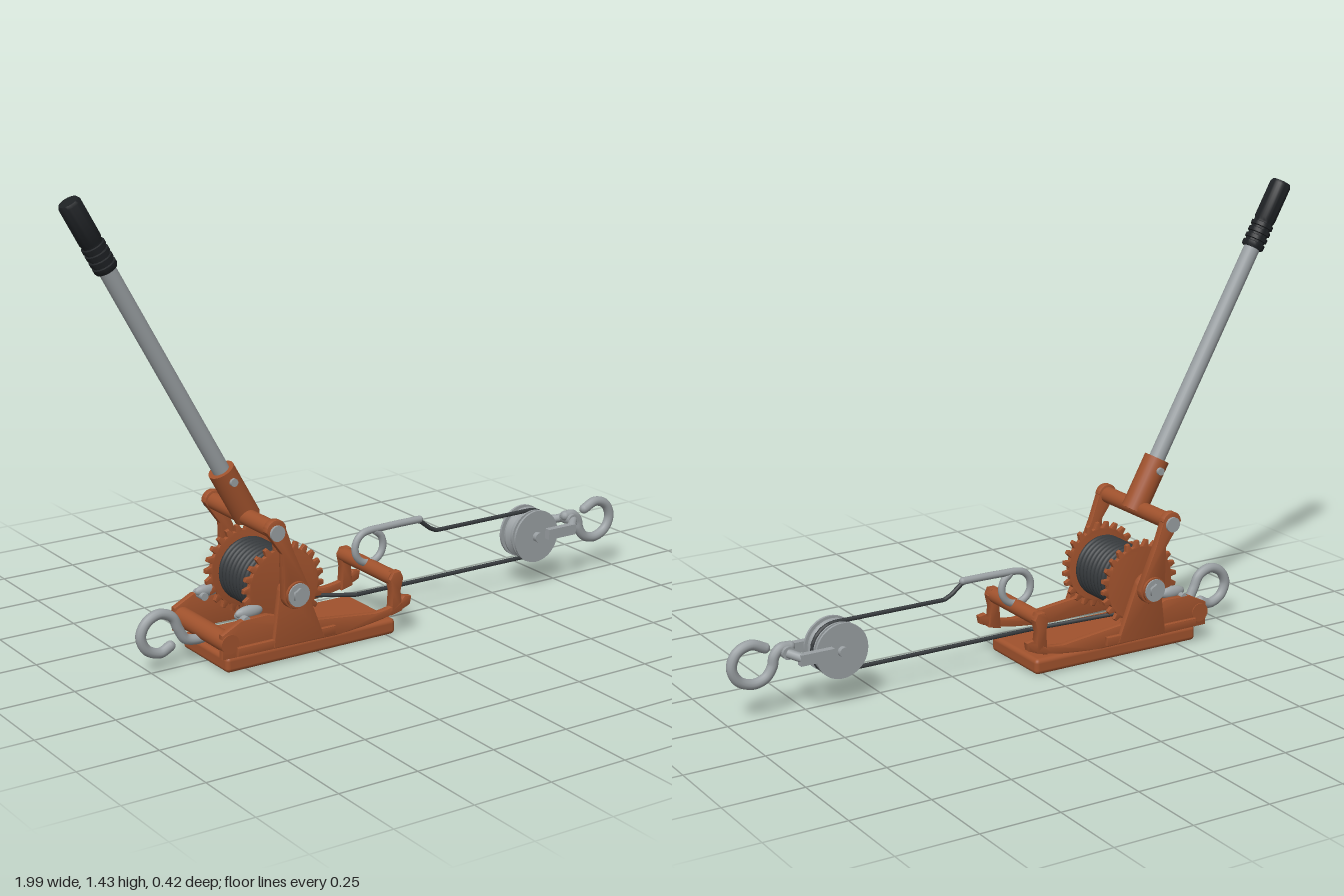
import * as THREE from 'three';
import { RoundedBoxGeometry } from 'three/addons/geometries/RoundedBoxGeometry.js';
import { toCreasedNormals } from 'three/addons/utils/BufferGeometryUtils.js';

const mat = (color) => new THREE.MeshStandardMaterial({ color });
const V = (x, y, z = 0) => new THREE.Vector3(x, y, z);

export function createModel() {
  const model = new THREE.Group();
  const orange = mat(0xa0522d), steel = mat(0x9aa0a3), black = mat(0x1e2124), cable = mat(0x363a3d);

  const add = (name, geo, m) => {
    const mesh = new THREE.Mesh(geo, m);
    mesh.name = name;
    model.add(mesh);
    return mesh;
  };
  // Straight round bar between two points
  const rod = (name, a, b, r, m, sides = 24) => {
    const dir = b.clone().sub(a);
    const mesh = add(name, new THREE.CylinderGeometry(r, r, dir.length(), sides), m);
    mesh.position.copy(a).add(b).multiplyScalar(0.5);
    mesh.quaternion.setFromUnitVectors(V(0, 1, 0), dir.normalize());
    return mesh;
  };
  // Bent round bar with rounded ends
  const bent = (name, pts, r, m, steps = 64) => {
    const curve = new THREE.CatmullRomCurve3(pts, false, 'centripetal');
    add(name, new THREE.TubeGeometry(curve, steps, r, 12), m);
    for (const p of [pts[0], pts[pts.length - 1]])
      add(name + 'End', new THREE.SphereGeometry(r, 12, 8), m).position.copy(p);
  };
  // Flat bevelled plate in the xy plane, spanning z0..z1
  const plate = (name, shape, z0, z1, m) => {
    const b = 0.003;
    const geo = new THREE.ExtrudeGeometry(shape, {
      depth: z1 - z0 - 2 * b, bevelSize: b, bevelThickness: b, bevelOffset: -b, bevelSegments: 2, curveSegments: 16,
    });
    add(name, toCreasedNormals(geo, 0.6), m).position.z = z0 + b;
  };
  // Same plate on both sides of the frame
  const plates = (name, shape, z0, z1, m) => {
    plate(name + 'Left', shape, z0, z1, m);
    plate(name + 'Right', shape, -z1, -z0, m);
  };
  const outline = (pts) => new THREE.Shape(pts.map(([x, y]) => new THREE.Vector2(x, y)));

  // Base plate
  add('basePlate', new RoundedBoxGeometry(0.6, 0.05, 0.265, 3, 0.014), orange).position.set(-0.27, 0.03, 0);

  // Side frames: long rail that curves up at the front
  const rail = new THREE.Shape();
  rail.moveTo(-0.595, 0.06);
  rail.lineTo(-0.2, 0.055);
  rail.quadraticCurveTo(0, 0.065, 0.07, 0.1);
  rail.lineTo(0.075, 0.125);
  rail.lineTo(0.05, 0.13);
  rail.quadraticCurveTo(0.03, 0.1, -0.06, 0.095);
  rail.lineTo(-0.28, 0.12);
  rail.lineTo(-0.44, 0.17);
  rail.lineTo(-0.53, 0.168);
  rail.lineTo(-0.595, 0.135);
  plates('sideRail', rail, 0.13, 0.152, orange);

  // Axle cheeks and lower ribs
  const cheek = new THREE.Shape();
  cheek.moveTo(-0.43, 0.065);
  cheek.lineTo(-0.25, 0.065);
  cheek.lineTo(-0.318, 0.24);
  cheek.absarc(-0.362, 0.23, 0.045, 0.2, Math.PI - 0.1, false);
  plates('axleCheek', cheek, 0.145, 0.166, orange);
  plates('lowerRib', outline([[-0.55, 0.065], [-0.21, 0.065], [-0.21, 0.092], [-0.55, 0.092]]), 0.148, 0.165, orange);

  // Front posts and the cross bars
  plates('frontPost', outline([[0.0, 0.075], [0.042, 0.085], [0.035, 0.15], [0.045, 0.19], [0.035, 0.212],
    [0.01, 0.212], [-0.003, 0.19], [0.005, 0.15]]), 0.122, 0.152, orange);
  rod('frontCrossBar', V(0.02, 0.188, -0.14), V(0.02, 0.188, 0.14), 0.024, orange);
  rod('rearCrossBar', V(-0.57, 0.105, -0.155), V(-0.57, 0.105, 0.155), 0.03, orange);

  // Ratchet wheels with raked teeth
  const C = V(-0.362, 0.23), teeth = 24, gearPts = [];
  for (let i = 0; i < teeth; i++) {
    for (const [f, r] of [[0, 0.121], [0.3, 0.122], [0.55, 0.14], [0.88, 0.14]]) {
      const a = ((i + f) / teeth) * Math.PI * 2;
      gearPts.push([C.x + Math.cos(a) * r, C.y + Math.sin(a) * r]);
    }
  }
  plates('ratchetWheel', outline(gearPts), 0.102, 0.118, orange);

  // Drum wound with cable
  const coil = [new THREE.Vector2(0.04, -0.1), new THREE.Vector2(0.09, -0.1)];
  const turns = 10, half = 0.1;
  for (let i = 0; i < turns; i++) {
    const c = -half + ((i + 0.5) * 2 * half) / turns;
    for (let k = 0; k <= 6; k++) {
      const a = (k / 6) * Math.PI;
      coil.push(new THREE.Vector2(0.088 + 0.013 * Math.sin(a), c - 0.01 * Math.cos(a)));
    }
  }
  coil.push(new THREE.Vector2(0.04, half));
  const drum = add('cableDrum', new THREE.LatheGeometry(coil, 48), cable);
  drum.rotation.x = Math.PI / 2;
  drum.position.copy(C);

  // Axle, bosses and end nuts
  rod('axle', V(C.x, C.y, -0.2), V(C.x, C.y, 0.2), 0.02, steel);
  for (const s of [1, -1]) {
    rod('axleBoss', V(C.x, C.y, s * 0.16), V(C.x, C.y, s * 0.198), 0.04, orange);
    rod('axleWasher', V(C.x, C.y, s * 0.197), V(C.x, C.y, s * 0.203), 0.036, steel);
    rod('axleNut', V(C.x, C.y, s * 0.2), V(C.x, C.y, s * 0.212), 0.023, steel, 6);
    // Pawls resting behind the ratchet wheels
    const pawl = add('pawl', new THREE.SphereGeometry(1, 20, 12), steel);
    pawl.scale.set(0.047, 0.02, 0.016);
    pawl.position.set(-0.485, 0.178, s * 0.118);
    rod('pawlPin', V(-0.51, 0.165, s * 0.095), V(-0.51, 0.165, s * 0.15), 0.012, steel);
    // Bolt at the yoke crossbar
    rod('yokeBolt', V(-0.43, 0.43, s * 0.17), V(-0.43, 0.43, s * 0.198), 0.024, steel, 20);
  }

  // Yoke arms and crossbar
  const arm = new THREE.Shape();
  arm.moveTo(-0.405, 0.22);
  arm.absarc(C.x, C.y, 0.046, Math.PI + 0.2, Math.PI * 2 + 0.2, false);
  arm.lineTo(-0.37, 0.36);
  arm.lineTo(-0.398, 0.44);
  arm.absarc(-0.43, 0.435, 0.034, 0.2, Math.PI, false);
  arm.lineTo(-0.41, 0.36);
  plates('yokeArm', arm, 0.165, 0.19, orange);
  rod('yokeCrossBar', V(-0.43, 0.435, -0.18), V(-0.43, 0.435, 0.18), 0.026, orange);

  // Handle, running up and back from the yoke
  const foot = V(-0.413, 0.425), dir = V(-0.97, 1.428).sub(foot).normalize();
  const along = (t) => foot.clone().addScaledVector(dir, t);
  rod('handleSocket', along(0.005), along(0.185), 0.041, orange);
  rod('socketPin', along(0.15).setZ(-0.05), along(0.15).setZ(0.05), 0.012, steel);
  rod('handleTube', along(0.1), along(1.0), 0.026, steel);
  const grip = [[0.001, 0], [0.033, 0]];
  for (let i = 0; i < 4; i++) {
    const y = 0.006 + i * 0.022;
    grip.push([0.036, y], [0.036, y + 0.012], [0.031, y + 0.014], [0.031, y + 0.02]);
  }
  grip.push([0.034, 0.1], [0.034, 0.22], [0.029, 0.229], [0.001, 0.229]);
  const gripGeo = new THREE.LatheGeometry(grip.map(([x, y]) => new THREE.Vector2(x, y)), 28);
  const gripMesh = add('handleGrip', toCreasedNormals(gripGeo, 0.7), black);
  gripMesh.position.copy(along(0.915));
  gripMesh.quaternion.setFromUnitVectors(V(0, 1, 0), dir);

  // Rear hook
  bent('rearHook', [V(-0.685, 0.077), V(-0.72, 0.062), V(-0.765, 0.082), V(-0.782, 0.125), V(-0.762, 0.165),
    V(-0.72, 0.183), V(-0.677, 0.165), V(-0.657, 0.125), V(-0.635, 0.09), V(-0.6, 0.08), V(-0.55, 0.085)], 0.016, steel);

  // Pulley block: cheeks, grooved sheave and pin
  const P = V(0.645, 0.18);
  const sheave = add('pulleySheave', toCreasedNormals(new THREE.LatheGeometry([[0.01, -0.022], [0.083, -0.022],
    [0.083, -0.016], [0.07, -0.006], [0.07, 0.006], [0.083, 0.016], [0.083, 0.022], [0.01, 0.022]]
    .map(([x, y]) => new THREE.Vector2(x, y)), 40), 0.5), steel);
  sheave.rotation.x = Math.PI / 2;
  sheave.position.copy(P);
  rod('pulleyPin', V(P.x, P.y, -0.058), V(P.x, P.y, 0.058), 0.016, steel, 16);
  for (const s of [1, -1]) {
    rod('pulleyCheek', V(P.x, P.y, s * 0.034), V(P.x, P.y, s * 0.042), 0.086, steel, 40);
    // Fork arm closing in on the hook
    const fork = add('forkArm', new THREE.BoxGeometry(0.11, 0.034, 0.022), steel);
    fork.position.set(0.735, 0.184, s * 0.052);
    rod('forkEnd', V(0.78, 0.188, s * 0.052), V(0.812, 0.2, s * 0.02), 0.014, steel, 12);
  }
  rod('forkPin', V(0.81, 0.2, -0.026), V(0.81, 0.2, 0.026), 0.02, steel, 16);

  // Front hook
  bent('frontHook', [V(0.795, 0.212), V(0.825, 0.212), V(0.846, 0.19), V(0.853, 0.16), V(0.875, 0.13),
    V(0.915, 0.118), V(0.962, 0.137), V(0.982, 0.18), V(0.964, 0.223), V(0.92, 0.24), V(0.875, 0.222)], 0.016, steel);

  // Cable: drum to pulley, around it and back to the anchor hook
  const path = new THREE.CurvePath();
  const corners = [V(-0.29, 0.13, -0.08), V(-0.03, 0.104, 0), V(P.x, 0.102, 0)];
  for (let i = 0; i <= 10; i++) {
    const a = -Math.PI / 2 + (i / 10) * Math.PI;
    corners.push(V(P.x + Math.cos(a) * 0.078, P.y + Math.sin(a) * 0.078));
  }
  corners.push(V(0.275, 0.258), V(0.25, 0.27), V(0.215, 0.298), V(0.19, 0.305));
  for (let i = 1; i < corners.length; i++) path.add(new THREE.LineCurve3(corners[i - 1], corners[i]));
  add('cable', new THREE.TubeGeometry(path, 240, 0.007, 8), cable);

  // Anchor hook looped over the front cross bar
  const loop = [V(0.21, 0.306), V(0.12, 0.306), V(0.06, 0.305)];
  for (let i = 0; i <= 12; i++) {
    const a = Math.PI / 2 + (i / 12) * Math.PI * 1.85;
    loop.push(V(0.02 + Math.cos(a) * 0.052, 0.252 + Math.sin(a) * 0.052));
  }
  bent('anchorHook', loop, 0.0115, steel, 90);

  return model;
}
